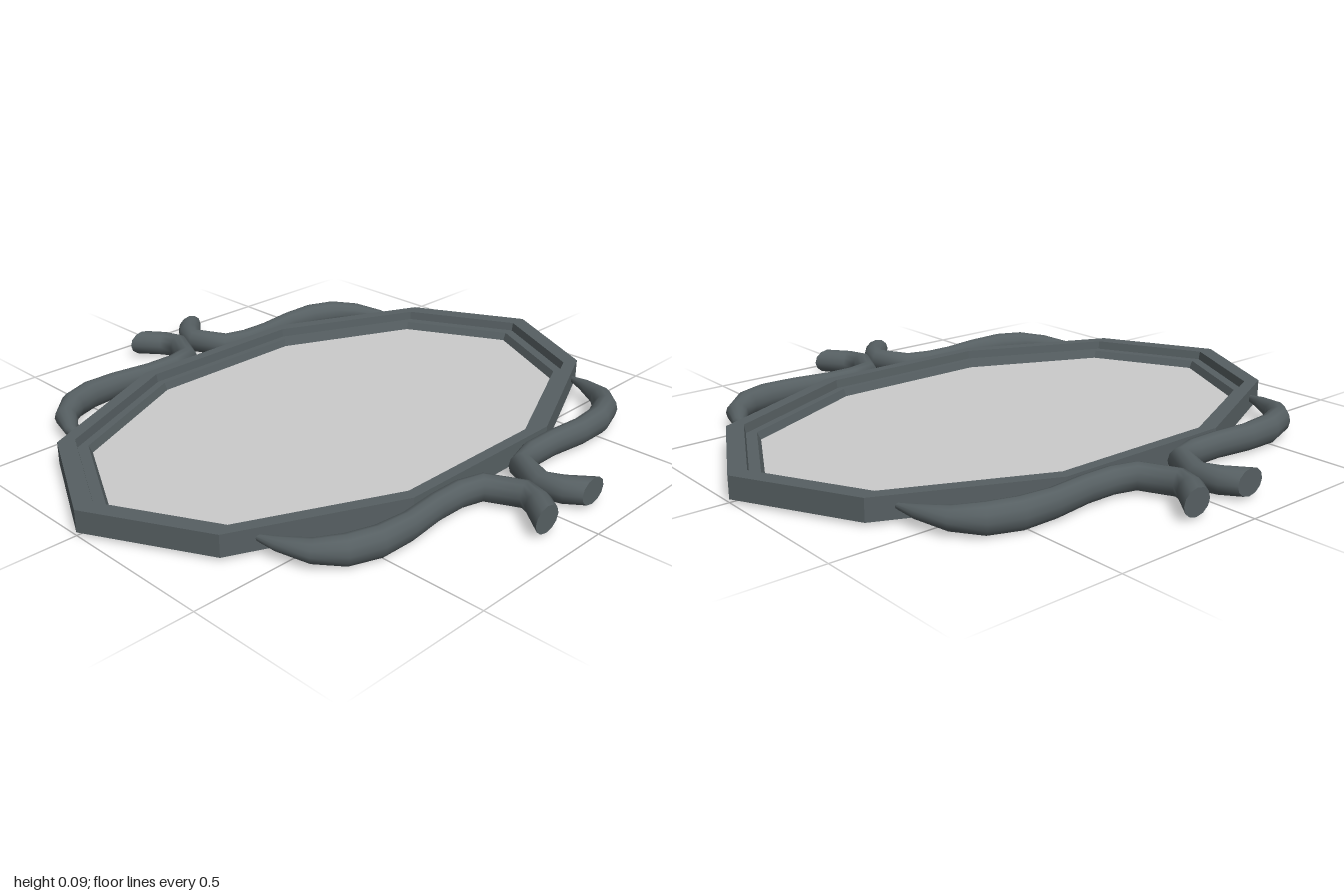
import * as THREE from 'three';

const SIDES = 12;

// Centre line of one vine: x, z, horizontal radius, vertical radius
const VINE = [
  [0.39, 0.725, 0.004, 0.006],
  [0.47, 0.705, 0.022, 0.02],
  [0.56, 0.665, 0.036, 0.034],
  [0.62, 0.6, 0.04, 0.045],
  [0.652, 0.51, 0.038, 0.047],
  [0.657, 0.4, 0.034, 0.044],
  [0.642, 0.27, 0.033, 0.042],
  [0.642, 0.17, 0.034, 0.042],
  [0.665, 0.09, 0.037, 0.042],
  [0.775, 0.038, 0.036, 0.042],
  [0.835, 0.06, 0.04, 0.042],
  [0.9, 0.11, 0.052, 0.042],
];

// Loft of elliptical rings along the vine, mirrored by sx and sz
function vineGeometry(sx, sz) {
  const pos = [], index = [];
  const path = VINE.map(([x, z]) => new THREE.Vector2(x * sx, z * sz - 0.008));
  const last = path.length - 1;
  const addRing = (i) => {
    const t = path[Math.min(i + 1, last)].clone().sub(path[Math.max(i - 1, 0)]).normalize();
    if (i === last) t.set(sx, 0); // tip is cut straight across
    const [, , rh, rv] = VINE[i];
    for (let k = 0; k < SIDES; k++) {
      const a = (k / SIDES) * Math.PI * 2;
      const h = rh * Math.cos(a);
      pos.push(path[i].x - t.y * h, 0.057 + rv * Math.sin(a), path[i].y + t.x * h);
    }
  };
  for (let i = 0; i <= last; i++) addRing(i);
  for (let i = 0; i < last; i++) {
    for (let k = 0; k < SIDES; k++) {
      const a = i * SIDES + k, b = i * SIDES + (k + 1) % SIDES;
      index.push(a, a + SIDES, b, b, a + SIDES, b + SIDES);
    }
  }
  // Flat cap with its own vertices, so its edge stays sharp
  const cap = pos.length / 3;
  addRing(last);
  for (let k = 1; k < SIDES - 1; k++) index.push(cap, cap + k + 1, cap + k);

  const g = new THREE.BufferGeometry();
  g.setAttribute('position', new THREE.Float32BufferAttribute(pos, 3));
  g.setIndex(index);
  g.computeVertexNormals();
  return g;
}

export function createModel() {
  const model = new THREE.Group();
  model.name = 'ornateMirror';
  const frameMat = new THREE.MeshStandardMaterial({ color: 0x565f62, flatShading: true });
  const vineMat = new THREE.MeshStandardMaterial({ color: 0x565f62 });
  const glassMat = new THREE.MeshStandardMaterial({ color: 0xcccccc });

  // Ten-sided stepped frame with a closed back
  const profile = [[0, 0.02], [1, 0.02], [1, 0.09], [0.94, 0.09], [0.935, 0.062],
    [0.898, 0.062], [0.885, 0.036]].map(([r, y]) => new THREE.Vector2(r, y));
  const frame = new THREE.Mesh(new THREE.LatheGeometry(profile, 10), frameMat);
  frame.name = 'frame';
  frame.scale.x = 0.635;
  model.add(frame);

  // Mirror glass
  const disc = new THREE.CircleGeometry(0.887, 10, Math.PI / 2);
  disc.rotateX(-Math.PI / 2);
  const glass = new THREE.Mesh(disc, glassMat);
  glass.name = 'glass';
  glass.scale.x = 0.635;
  glass.position.y = 0.037;
  model.add(glass);

  // Four curling vines, a meeting pair on each side
  for (const sx of [1, -1]) {
    for (const sz of [1, -1]) {
      const vine = new THREE.Mesh(vineGeometry(sx, sz), vineMat);
      vine.name = (sx > 0 ? 'left' : 'right') + (sz > 0 ? 'Front' : 'Back') + 'Vine';
      model.add(vine);
    }
  }
  return model;
}
